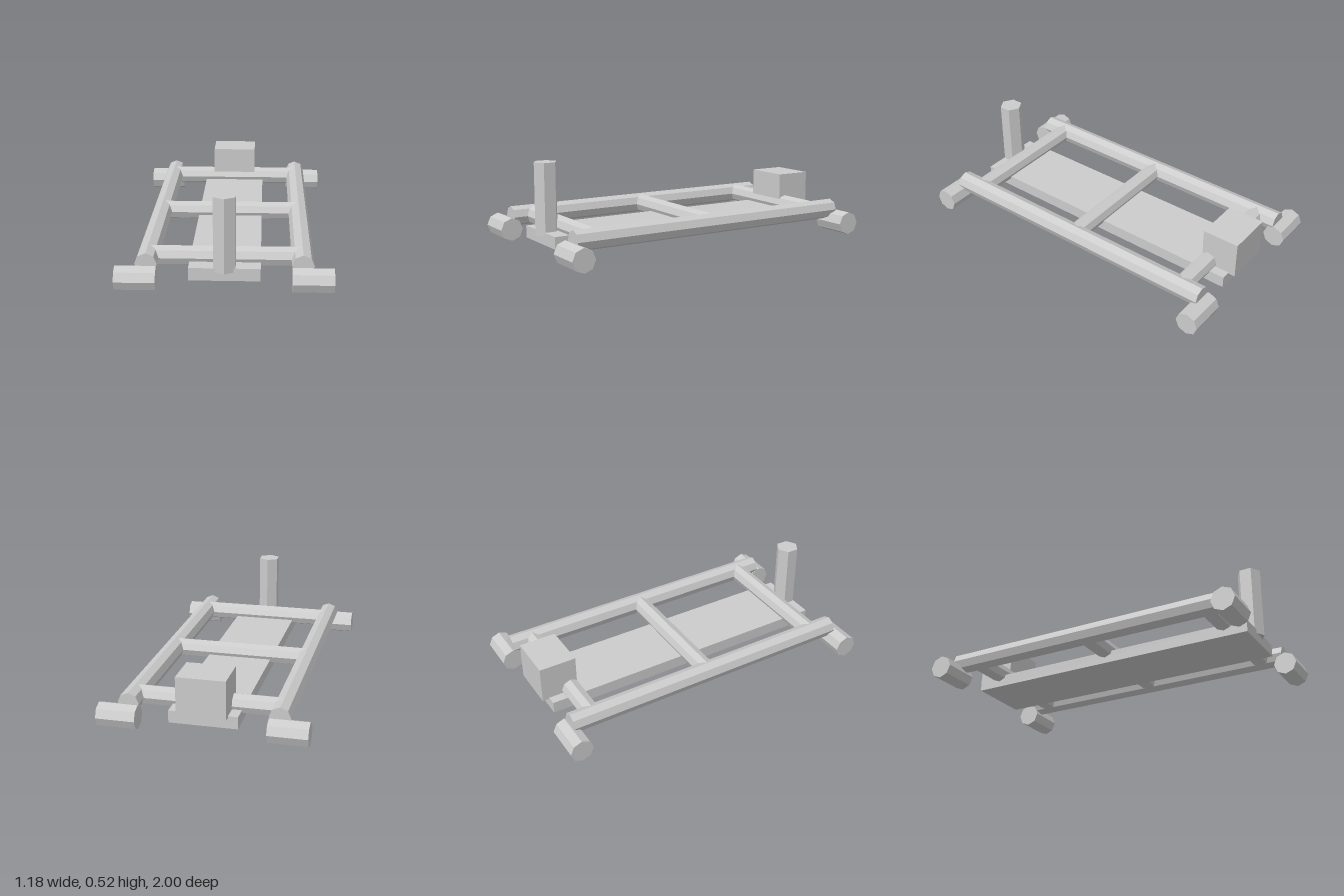
import * as THREE from 'three';

const material = new THREE.MeshStandardMaterial({ color: 0xcccccc, flatShading: true });

export function createModel() {
  const model = new THREE.Group();
  model.name = 'rollingFrame';

  const add = (name, geometry, x, y, z) => {
    const mesh = new THREE.Mesh(geometry, material);
    mesh.name = name;
    mesh.position.set(x, y, z);
    model.add(mesh);
  };

  // Faceted bar along the given axis
  const bar = (radius, length, sides, axis) => {
    const g = new THREE.CylinderGeometry(radius, radius, length, sides);
    if (axis === 'x') g.rotateZ(Math.PI / 2);
    if (axis === 'z') g.rotateX(Math.PI / 2);
    return g;
  };

  // Side rails and the four rollers at their ends
  for (const [side, s] of [['left', 1], ['right', -1]]) {
    add(`${side}Rail`, bar(0.061, 1.83, 8, 'z'), s * 0.424, 0.143, -0.004);
    for (const [end, e] of [['Front', 1], ['Back', -1]]) {
      add(`${side}${end}Roller`, bar(0.07, 0.224, 8, 'x'), s * 0.478, 0.07, e * 0.93);
    }
  }

  // Crossbars run into the rails
  for (const [name, z] of [['front', 0.77], ['middle', -0.004], ['back', -0.778]]) {
    add(`${name}Crossbar`, bar(0.056, 0.84, 8, 'x'), 0, 0.143, z);
  }

  // Long plate slung under the crossbars
  add('plate', new THREE.BoxGeometry(0.392, 0.072, 1.83), 0, 0.087, -0.004);

  // Upright post at the front, block at the back
  add('post', bar(0.07, 0.423, 6, 'y'), 0, 0.312, 0.87);
  add('block', new THREE.BoxGeometry(0.28, 0.225, 0.224), 0, 0.2275, -0.848);

  return model;
}
